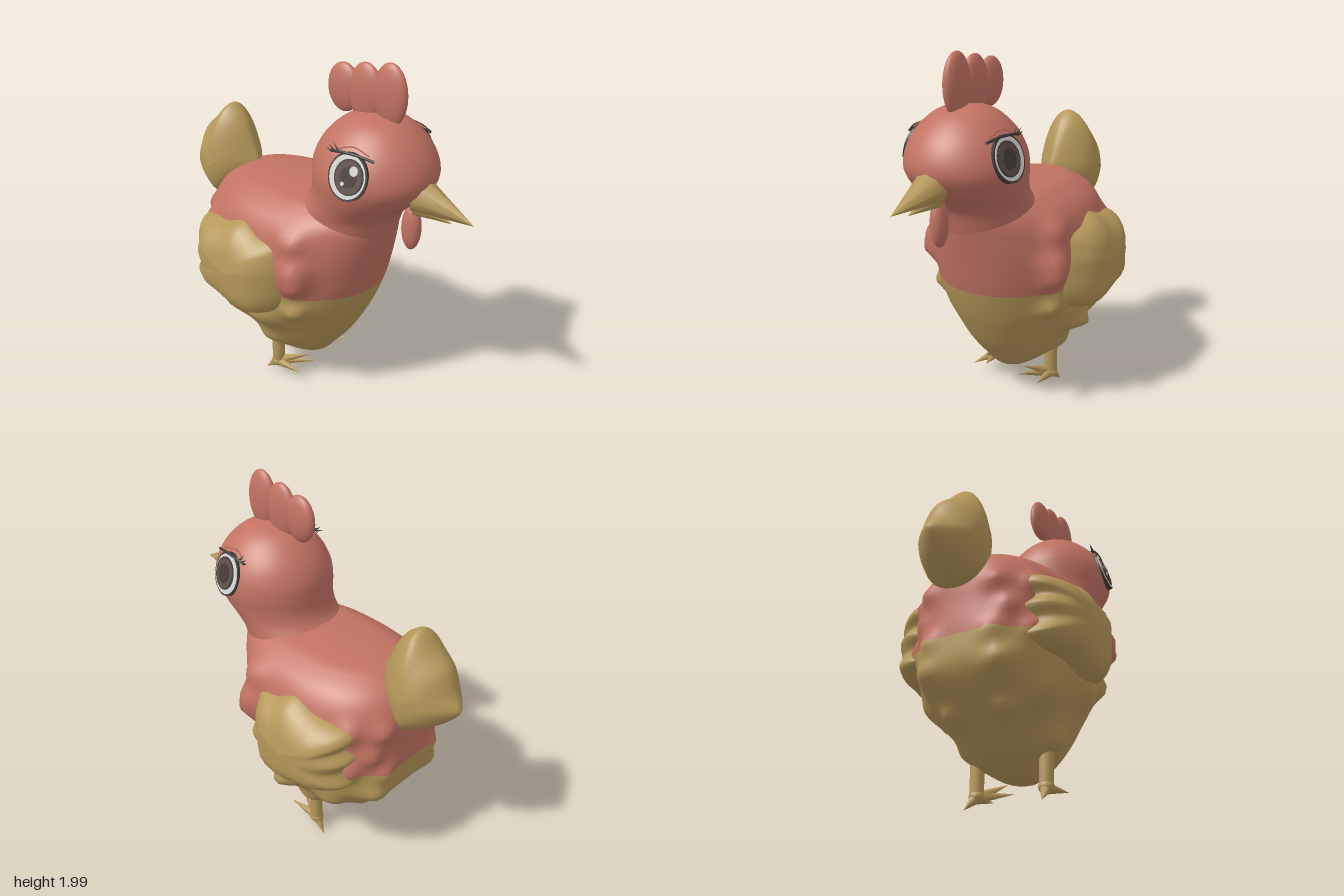
import * as THREE from 'three';

const mat = (name, color) => {
  const m = new THREE.MeshStandardMaterial({ color });
  m.name = name;
  return m;
};

// Skin a stack of closed rings (counter-clockwise, first ring lowest) with smooth normals
function loft(rings) {
  const n = rings[0].length, pos = [], idx = [];
  rings.forEach(r => r.forEach(p => pos.push(p.x, p.y, p.z)));
  for (let i = 0; i < rings.length - 1; i++) {
    for (let j = 0; j < n; j++) {
      const a = i * n + j, b = i * n + (j + 1) % n;
      idx.push(a, b, b + n, a, b + n, a + n);
    }
  }
  const g = new THREE.BufferGeometry();
  g.setAttribute('position', new THREE.Float32BufferAttribute(pos, 3));
  g.setIndex(idx);
  g.computeVertexNormals();
  return g;
}

// Horizontal oval slices from rows of [y, xBack, xFront, halfWidth]; rearPower below 1 squares the back
function slices(table, steps, segs, rearPower = 1) {
  const shape = new THREE.CatmullRomCurve3(table.map(r => new THREE.Vector3(r[1], r[2], r[3])), false, 'catmullrom', 0.5);
  const height = new THREE.CatmullRomCurve3(table.map(r => new THREE.Vector3(r[0], 0, 0)), false, 'catmullrom', 0.5);
  const rings = [], count = (table.length - 1) * steps;
  for (let i = 0; i <= count; i++) {
    const s = shape.getPoint(i / count), y = height.getPoint(i / count).x;
    const ring = [];
    for (let j = 0; j < segs; j++) {
      const a = j / segs * Math.PI * 2, c = Math.cos(a), sn = Math.sin(a);
      const e = c < 0 ? rearPower : 1;
      const u = Math.sign(c) * Math.abs(c) ** e, v = Math.sign(sn) * Math.abs(sn) ** e;
      ring.push(new THREE.Vector3((s.x + s.y) / 2 + (s.y - s.x) / 2 * u, y, -s.z * v));
    }
    rings.push(ring);
  }
  return rings;
}

// Cushion with a given side outline, bulging along z; bend(point) adjusts each vertex
function pillow(outline, cx, cy, back, front, power, bend) {
  const curve = new THREE.CatmullRomCurve3(outline.map(p => new THREE.Vector3(p[0], p[1], 0)), true, 'catmullrom', 0.4);
  const pts = curve.getPoints(72).slice(0, -1), rings = [];
  for (let i = 0; i <= 16; i++) {
    const t = (i / 16 - 0.5) * Math.PI;
    const s = Math.pow(Math.max(Math.cos(t), 0), power);
    const z = Math.sin(t) * (t < 0 ? back : front);
    rings.push(pts.map(p => {
      const q = new THREE.Vector3(cx + (p.x - cx) * s, cy + (p.y - cy) * s, z);
      bend(q);
      return q;
    }));
  }
  return loft(rings);
}

export function createModel() {
  const model = new THREE.Group();
  model.name = 'chicken';
  const red = mat('red feathers', 0xc27362), tan = mat('tan feathers', 0xb6985a);
  const dark = mat('dark lashes', 0x3f3a36), white = mat('eye white', 0xd6d6d2);
  const brown = mat('iris brown', 0x5f4e46), pupilMat = mat('pupil', 0x463a35);

  const add = (parent, name, geo, material, x = 0, y = 0, z = 0) => {
    const m = new THREE.Mesh(geo, material);
    m.name = name;
    m.position.set(x, y, z);
    parent.add(m);
    return m;
  };
  const ball = (parent, name, material, p, r) => {
    const m = add(parent, name, new THREE.SphereGeometry(1, 28, 20), material, ...p);
    m.scale.set(...r);
    return m;
  };
  // Tapered spike between two points
  const spike = (parent, name, material, from, to, r0, r1 = 0, sides = 8) => {
    const a = new THREE.Vector3(...from), b = new THREE.Vector3(...to), d = b.clone().sub(a);
    const m = add(parent, name, new THREE.CylinderGeometry(r1, r0, d.length(), sides), material);
    m.position.copy(a).add(b).multiplyScalar(0.5);
    m.quaternion.setFromUnitVectors(new THREE.Vector3(0, 1, 0), d.normalize());
    return m;
  };

  // Body: tan belly below, red back and breast above, with ruffled feather bumps
  const bodyRows = [
    [0.148, -0.06, -0.06, 0], [0.17, -0.18, 0.03, 0.1], [0.25, -0.32, 0.1, 0.21], [0.35, -0.43, 0.18, 0.28],
    [0.45, -0.55, 0.24, 0.34], [0.58, -0.65, 0.305, 0.41], [0.74, -0.67, 0.365, 0.435], [0.9, -0.67, 0.405, 0.44],
    [1.05, -0.67, 0.44, 0.41], [1.15, -0.63, 0.46, 0.36], [1.215, -0.55, 0.46, 0.28], [1.25, -0.43, 0.42, 0.19],
    [1.265, 0, 0, 0]];
  const paired = [ // x, y, z, height, radius
    [0.13, 0.92, 0.4, 0.07, 0.08], [0.14, 0.82, 0.4, 0.07, 0.06], [0.1, 1.08, 0.37, 0.05, 0.08],
    [0.12, 0.64, 0.37, 0.06, 0.06], [-0.1, 0.54, 0.39, 0.04, 0.1], [-0.38, 0.48, 0.3, 0.05, 0.09],
    [-0.64, 1.0, 0.2, 0.04, 0.06], [-0.64, 0.86, 0.27, 0.05, 0.06], [-0.64, 0.73, 0.18, 0.04, 0.06],
    [-0.52, 1.0, 0.34, 0.04, 0.06], [-0.52, 0.75, 0.34, 0.04, 0.06], [-0.6, 0.58, 0.2, 0.05, 0.08],
    [-0.46, 0.4, 0.14, 0.04, 0.06], [-0.17, 0.3, 0.25, 0.04, 0.08]];
  const bumps = [...paired, ...paired.map(([x, y, z, h, r]) => [x, y, -z, h, r]), [-0.12, 0.48, -0.36, 0.07, 0.06]];
  const steps = 6, segs = 80;
  const bodyRings = slices(bodyRows, steps, segs, 0.85);
  bodyRings.forEach(ring => ring.forEach(p => {
    const out = new THREE.Vector3(p.x + 0.12, 0, p.z).normalize();
    let push = 0;
    for (const [x, y, z, h, r] of bumps) {
      push += h * Math.exp(-((p.x - x) ** 2 + (p.y - y) ** 2 + (p.z - z) ** 2) / (r * r));
    }
    p.addScaledVector(out, push);
  }));
  const bodyGeo = loft(bodyRings);
  const split = 6 * steps * segs * 6;
  bodyGeo.addGroup(0, split, 0);
  bodyGeo.addGroup(split, bodyGeo.index.count - split, 1);
  add(model, 'body', bodyGeo, [tan, red]);

  // Neck flowing into the round head
  add(model, 'neckAndHead', loft(slices([
    [0.95, 0, 0.4, 0.2], [1.1, -0.1, 0.452, 0.26], [1.2, -0.08, 0.485, 0.268], [1.245, -0.035, 0.515, 0.272],
    [1.29, 0.005, 0.56, 0.28], [1.35, 0.025, 0.625, 0.295], [1.43, 0.028, 0.675, 0.31], [1.51, 0.038, 0.672, 0.3],
    [1.6, 0.082, 0.628, 0.258], [1.68, 0.158, 0.552, 0.186], [1.725, 0.24, 0.47, 0.108], [1.745, 0.355, 0.355, 0]],
  5, 48)), red);

  // Comb and wattle
  ball(model, 'combBack', red, [0.145, 1.82, 0], [0.098, 0.126, 0.042]);
  ball(model, 'combMiddle', red, [0.28, 1.82, 0], [0.1, 0.153, 0.042]);
  ball(model, 'combFront', red, [0.425, 1.84, 0], [0.098, 0.16, 0.042]);
  ball(model, 'wattle', red, [0.587, 1.19, 0], [0.054, 0.125, 0.042]);

  // Beak
  spike(model, 'upperBeak', tan, [0.63, 1.385, 0], [0.935, 1.32, 0], 0.092);
  spike(model, 'lowerBeak', tan, [0.62, 1.325, 0], [0.815, 1.29, 0], 0.055);

  // Tail, thickest in the middle and pinched at both ends
  add(model, 'tail', pillow([
    [-0.47, 1.2], [-0.5, 1.32], [-0.55, 1.43], [-0.6, 1.5], [-0.67, 1.54], [-0.75, 1.46], [-0.84, 1.38],
    [-0.89, 1.27], [-0.935, 1.19], [-0.87, 1.1], [-0.78, 1.03], [-0.69, 0.98], [-0.6, 1.06]],
  -0.7, 1.2, 0.18, 0.18, 0.65, p => { p.z *= 1 - 13 * (p.x + 0.71) ** 2 - 0.9 * Math.max(0, p.y - 1.25); }), tan);

  // Paired parts, built on +z and mirrored to -z
  for (const side of [1, -1]) {
    const half = new THREE.Group();
    half.name = side > 0 ? 'nearSide' : 'farSide';
    half.scale.z = side;
    model.add(half);

    // Wing with scalloped rear feathers, sloping in at the top, front and tip
    add(half, 'wing', pillow([
      [0.08, 0.72], [0.095, 0.9], [0.075, 1.05], [-0.08, 1.06], [-0.21, 1.11], [-0.35, 1.06], [-0.53, 1.03],
      [-0.56, 0.98], [-0.52, 0.92], [-0.565, 0.86], [-0.525, 0.79], [-0.565, 0.71], [-0.49, 0.66],
      [-0.36, 0.63], [-0.18, 0.58], [0, 0.62]], -0.23, 0.83, 0.2, 0.14, 0.5, p => {
      p.z -= 0.3 * Math.max(0, p.y - 0.9) + 0.5 * Math.max(0, p.x + 0.08) + 0.3 * Math.max(0, -0.4 - p.x);
    }), tan, 0, 0, 0.4);

    // Leg and toes
    spike(half, 'leg', tan, [-0.17, 0.08, 0.2], [-0.165, 0.27, 0.2], 0.036, 0.038, 12);
    ball(half, 'ankle', tan, [-0.17, 0.09, 0.2], [0.04, 0.035, 0.04]);
    for (const tip of [[0.05, 0.14, 0.11], [0.02, 0.185, 0.13], [0.02, 0.1, 0.22], [-0.25, 0.01, 0.22]]) {
      spike(half, 'toe', tan, [-0.175, 0.085, 0.2], tip, 0.032);
    }

    // Eye: stacked discs facing out from the head
    const eye = new THREE.Group();
    eye.name = 'eye';
    eye.position.set(0.405, 1.515, 0.287);
    eye.lookAt(0.405 + 0.04, 1.515 + 0.09, 0.287 + 0.3);
    half.add(eye);
    const disc = (name, material, x, y, rx, ry, top, depth) => {
      const g = new THREE.CylinderGeometry(1, 1, 1, 36).rotateX(Math.PI / 2);
      add(eye, name, g, material, x, y, top - depth / 2).scale.set(rx, ry, depth);
    };
    disc('eyeRim', dark, 0, 0, 0.106, 0.118, 0.002, 0.024);
    disc('eyeWhite', white, 0, 0, 0.097, 0.108, 0.005, 0.006);
    disc('irisRim', dark, 0.01, 0, 0.079, 0.088, 0.008, 0.006);
    disc('iris', brown, 0.01, 0, 0.072, 0.081, 0.011, 0.006);
    disc('pupil', pupilMat, 0.01, 0, 0.045, 0.052, 0.014, 0.006);
    if (side > 0) {
      disc('largeHighlight', white, 0.035, 0.035, 0.022, 0.024, 0.017, 0.006);
      disc('smallHighlight', white, -0.015, -0.035, 0.01, 0.01, 0.017, 0.006);
    }

    // Eyelid line and lashes
    const lid = new THREE.CatmullRomCurve3([[-0.12, 0.1, -0.014], [-0.05, 0.108, 0.003], [0.04, 0.108, 0.003],
      [0.12, 0.095, -0.014]].map(p => new THREE.Vector3(...p)));
    add(eye, 'eyelid', new THREE.TubeGeometry(lid, 16, 0.007, 6), dark);
    const crease = new THREE.CatmullRomCurve3([[-0.09, 0.115, -0.016], [-0.01, 0.14, -0.022],
      [0.09, 0.115, -0.016]].map(p => new THREE.Vector3(...p)));
    add(eye, 'eyelidCrease', new THREE.TubeGeometry(crease, 16, 0.004, 5), red);
    for (const [x, tx, ty] of [[-0.11, -0.145, 0.11], [-0.09, -0.135, 0.13], [-0.07, -0.11, 0.145]]) {
      spike(eye, 'lash', dark, [x, 0.102, -0.006], [tx, ty, -0.004], 0.006, 0, 5);
    }
  }
  return model;
}
